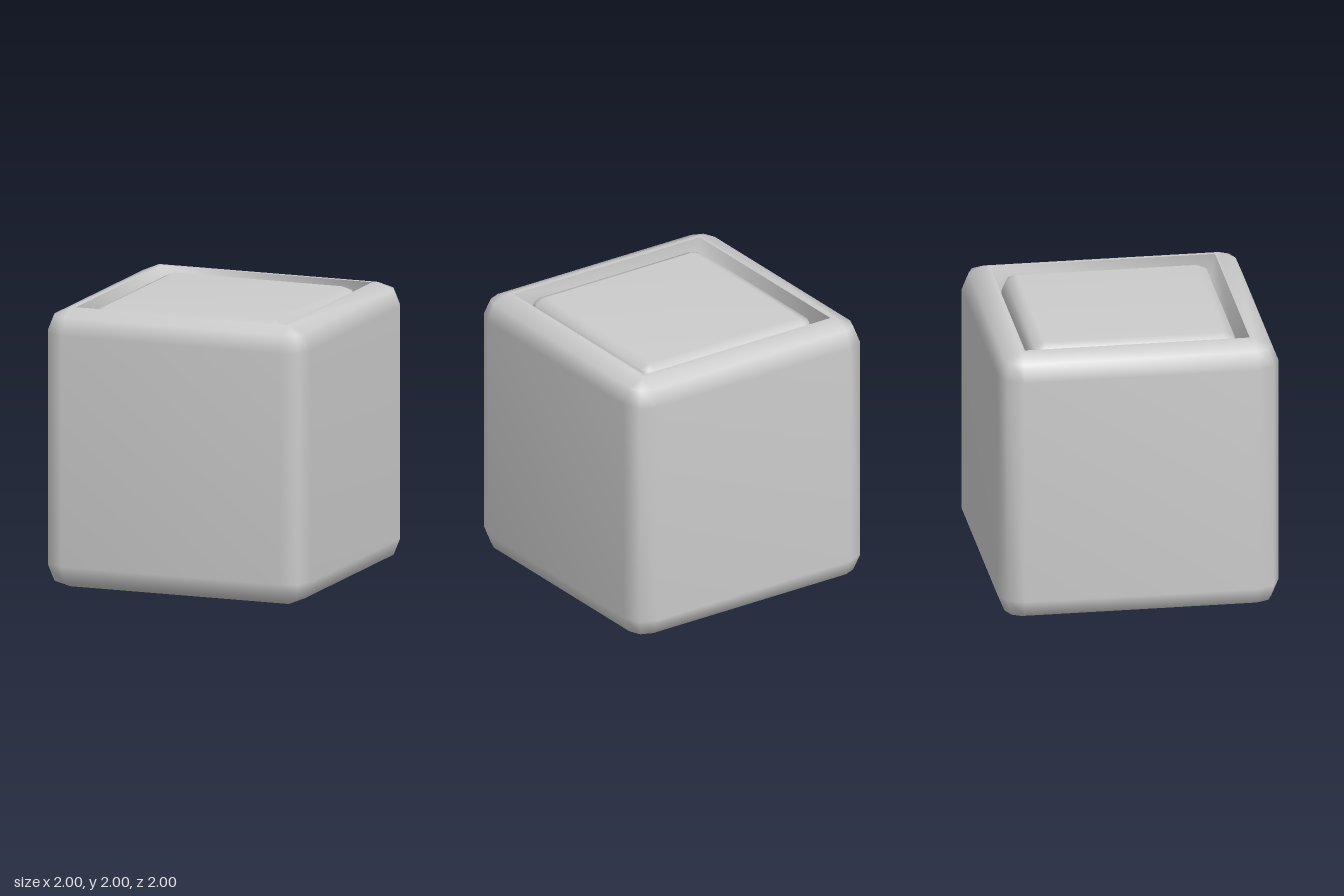
import * as THREE from 'three';
import { mergeVertices } from 'three/addons/utils/BufferGeometryUtils.js';

const material = new THREE.MeshStandardMaterial({ color: 0xcccccc });

// Square ring with two-segment rounded corners: half width h, corner radius r
function ring(y, h, r) {
  const points = [];
  for (let corner = 0; corner < 4; corner++) {
    const mid = Math.PI / 4 + corner * Math.PI / 2;
    const cx = Math.sign(Math.cos(mid)) * (h - r);
    const cz = Math.sign(Math.sin(mid)) * (h - r);
    for (let i = -1; i <= 1; i++) {
      const a = mid + i * Math.PI / 4;
      points.push([cx + r * Math.cos(a), y, cz + r * Math.sin(a)]);
    }
  }
  return points;
}

// Skin through [y, half, radius] levels, with optional caps at either end
function loft(levels, capStart, capEnd) {
  const rings = levels.map(l => ring(...l));
  const positions = [];
  const tri = (a, b, c) => {
    const same = (p, q) => p.every((v, i) => Math.abs(v - q[i]) < 1e-6);
    if (!same(a, b) && !same(b, c) && !same(c, a)) positions.push(...a, ...b, ...c);
  };
  const n = rings[0].length;
  for (let j = 0; j < n; j++) {
    const k = (j + 1) % n;
    for (let i = 0; i + 1 < rings.length; i++) {
      const lower = rings[i], upper = rings[i + 1];
      tri(lower[j], upper[j], upper[k]);
      tri(lower[j], upper[k], lower[k]);
    }
    const first = rings[0], last = rings[rings.length - 1];
    if (capStart) tri([0, levels[0][0], 0], first[j], first[k]);
    if (capEnd) tri([0, levels[levels.length - 1][0], 0], last[k], last[j]);
  }
  const geometry = new THREE.BufferGeometry();
  geometry.setAttribute('position', new THREE.Float32BufferAttribute(positions, 3));
  const merged = mergeVertices(geometry, 1e-4);
  merged.computeVertexNormals();
  return merged;
}

// Levels of a box with every edge rounded by radius r
function roundedLevels(y0, y1, h, r) {
  const c = r * (1 - Math.SQRT1_2);
  return [
    [y0, h - r, 0], [y0 + c, h - c, r - c], [y0 + r, h, r],
    [y1 - r, h, r], [y1 - c, h - c, r - c], [y1, h - r, 0],
  ];
}

export function createModel() {
  const group = new THREE.Group();
  const add = (name, geometry) => {
    const mesh = new THREE.Mesh(geometry, material);
    mesh.name = name;
    group.add(mesh);
  };

  const rim = 0.8, floorHalf = 0.745, floorY = 1.75;

  // Rounded outer shell, ending in the flat rim of the opening
  add('outerShell', loft([...roundedLevels(0, 2, 1, 0.17), [2, rim, 0]], true, false));

  // Tapered recess walls and floor
  add('recessWalls', loft([[2, rim, 0], [floorY, floorHalf, 0]], false, false));
  add('recessFloor', loft([[floorY, floorHalf, 0], [floorY, floorHalf / 2, 0]], false, true));

  // Rounded block sitting in the recess, almost level with the rim
  add('innerBlock', loft(roundedLevels(0.5, 1.99, 0.745, 0.108), true, true));

  return group;
}
